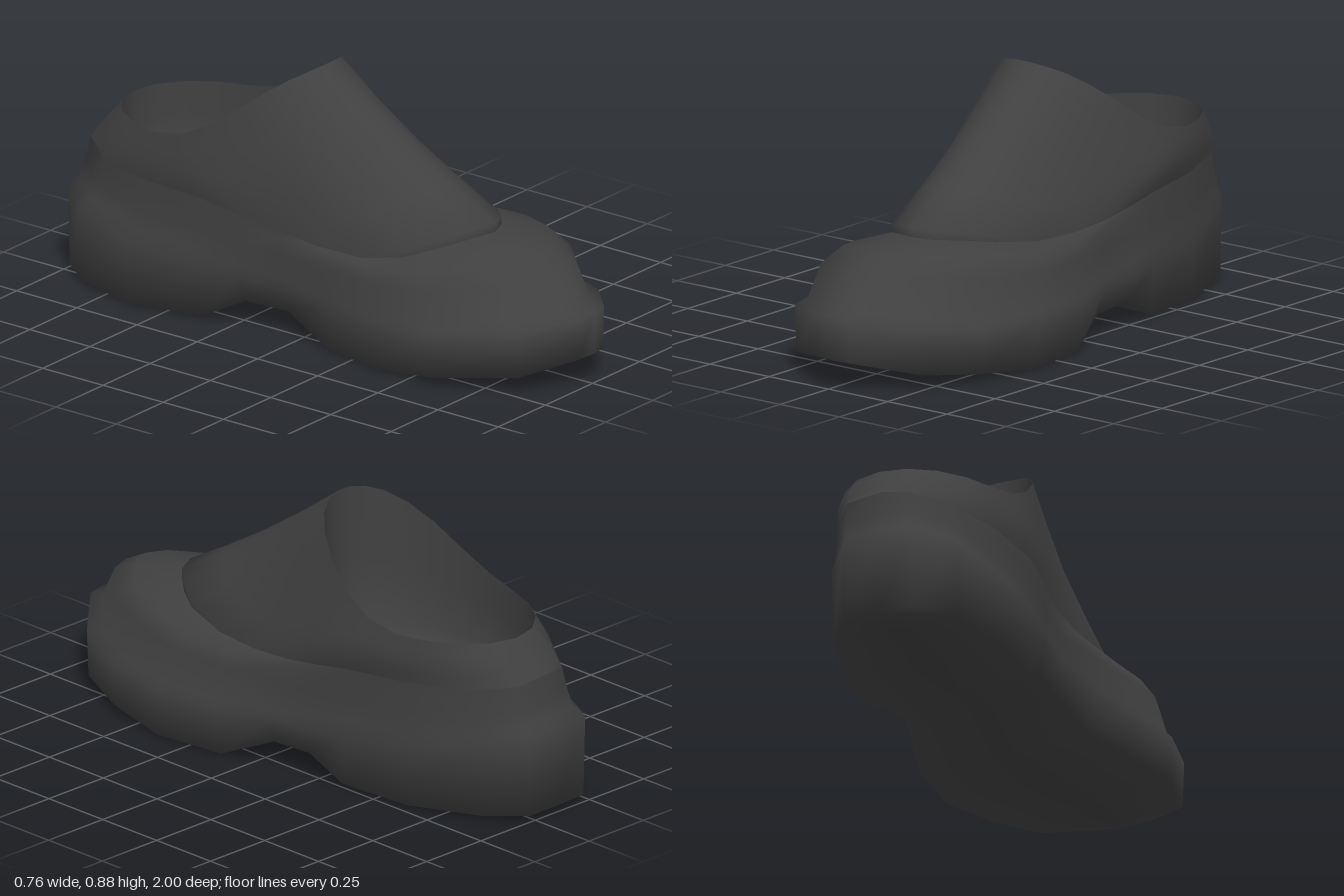
import * as THREE from 'three';
import { toCreasedNormals } from 'three/addons/utils/BufferGeometryUtils.js';

// Columns run from the toe, round the model's left side, the heel and back.
// Each: outline x, z, then the seam x, z, y where the instep meets the body.
const COLUMNS = [
  [0.01, 1.0, 0.01, 0.59, 0.437], [0.08, 0.985, 0.085, 0.555, 0.432],
  [0.26, 0.82, 0.15, 0.48, 0.425], [0.34, 0.62, 0.205, 0.39, 0.41],
  [0.378, 0.38, 0.245, 0.22, 0.385], [0.355, 0.12, 0.258, 0.05, 0.38],
  [0.30, -0.06, 0.263, -0.1, 0.39], [0.295, -0.22, 0.262, -0.24, 0.41],
  [0.27, -0.36, 0.25, -0.38, 0.43], [0.22, -0.62, 0.215, -0.6, 0.44],
  [0.125, -0.88, 0.13, -0.83, 0.45], [0.02, -1.0, 0.03, -0.95, 0.47],
  [-0.11, -1.0, -0.1, -0.955, 0.48], [-0.24, -0.99, -0.19, -0.935, 0.47],
  [-0.33, -0.87, -0.29, -0.8, 0.45], [-0.38, -0.64, -0.335, -0.6, 0.44],
  [-0.35, -0.36, -0.335, -0.36, 0.43], [-0.315, -0.22, -0.315, -0.22, 0.40],
  [-0.29, -0.06, -0.288, -0.08, 0.37], [-0.31, 0.13, -0.278, 0.08, 0.35],
  [-0.34, 0.35, -0.262, 0.25, 0.345], [-0.345, 0.6, -0.225, 0.39, 0.37],
  [-0.24, 0.88, -0.15, 0.49, 0.405], [-0.06, 0.99, -0.07, 0.56, 0.43],
];
const N = COLUMNS.length;
const HALF = N / 2;

// Heights along z for the sole, the top of the side wall and the collar rim
const SOLE = [[-1, 0.025], [-0.65, 0.008], [-0.36, 0.02], [-0.22, 0.09], [-0.06, 0.085],
  [0.07, 0.01], [0.33, 0.003], [0.55, 0.025], [0.86, 0.06], [1, 0.105]];
const WALL = [[-1, 0.3], [-0.6, 0.21], [0, 0.17], [0.6, 0.18], [0.85, 0.22], [1, 0.25]];
const RIM = [[-0.87, 0.6], [-0.55, 0.605], [-0.4, 0.645], [-0.22, 0.78], [-0.13, 0.85], [-0.06, 0.89]];
// Width of the sole against the outline, tucked in at the arch
const TUCK = [[-0.5, 0.98], [-0.22, 0.9], [-0.06, 0.9], [0.25, 0.98]];

function heightAt(table, z) {
  if (z <= table[0][0]) return table[0][1];
  for (let i = 1; i < table.length; i++) {
    const [z0, y0] = table[i - 1], [z1, y1] = table[i];
    if (z <= z1) return y0 + (y1 - y0) * (z - z0) / (z1 - z0);
  }
  return table[table.length - 1][1];
}

const { lerp, smoothstep } = THREE.MathUtils;
const ring = (f) => COLUMNS.map((c, i) => f(c, i));
const midline = (r, y) => r.map((p, i) => {
  const q = r[(N - i) % N];
  const z = (p[2] + q[2]) / 2;
  return [(p[0] + q[0]) / 2, y(z), z];
});

// Smooth skin between successive closed rings
function loft(rings) {
  const index = [];
  for (let r = 0; r < rings.length - 1; r++) {
    for (let i = 0; i < N; i++) {
      const a = r * N + i, b = r * N + (i + 1) % N;
      index.push(a, b, b + N, a, b + N, a + N);
    }
  }
  const g = new THREE.BufferGeometry();
  g.setAttribute('position', new THREE.Float32BufferAttribute(rings.flat(2), 3));
  g.setIndex(index);
  return toCreasedNormals(g, 1.8);
}

export function createModel() {
  const group = new THREE.Group();
  const charcoal = new THREE.MeshStandardMaterial({ color: 0x404040 });
  charcoal.name = 'charcoal';
  const add = (name, rings) => {
    const mesh = new THREE.Mesh(loft(rings), charcoal);
    mesh.name = name;
    group.add(mesh);
  };

  // Arched sole and side wall, with a stepped toe cap easing into an upright heel
  const edge = ring(([x, z]) => [x * heightAt(TUCK, z), heightAt(SOLE, z), z * 0.997]);
  const wall = ring(([x, z]) => [x, heightAt(WALL, z), z]);
  const shoulder = (toeInset, toeRise, heelInset, heelRise) => ring(([x, z, sx, sz, sy]) => {
    const t = smoothstep(z, -0.4, 0.15);
    const inset = lerp(heelInset, toeInset, t);
    return [
      lerp(x, sx, inset),
      lerp(heightAt(WALL, z), sy, lerp(heelRise, toeRise, t)),
      lerp(z, sz, inset),
    ];
  });
  const seam = shoulder(1, 1, 1, 1);
  add('soleAndToeCap', [midline(edge, (z) => heightAt(SOLE, z)), edge, wall,
    shoulder(0.14, 0.1, 0.52, 0.22), shoulder(0.27, 0.68, 0.74, 0.5),
    shoulder(0.5, 0.94, 0.9, 0.78), seam]);

  // Sloping rim of the collar
  const angle = (i) => {
    const k = i <= HALF ? i : N - i;
    return (i <= HALF ? 1 : -1) * Math.PI * (k / HALF) ** 1.3;
  };
  const rim = ring((c, i) => {
    const z = -0.465 + 0.405 * Math.cos(angle(i));
    return [-0.045 + 0.278 * Math.sin(angle(i)), heightAt(RIM, z), z];
  });

  // Instep rising from a small lip at the front of the seam
  const lip = seam.map(([x, y, z]) => [x, y + 0.03 * smoothstep(z, 0.2, 0.55), z]);
  const instep = (t) => lip.map((p, i) => {
    const swell = 0.02 * Math.sin(Math.PI * t);
    const front = Math.max(0, Math.cos(angle(i)));
    const [x, y, z] = p.map((v, k) => lerp(v, rim[i][k], t));
    return [x + swell * Math.sin(angle(i)) * (1 - 1.8 * front), y - swell * front, z];
  });
  add('instepAndCollar', [seam, lip, instep(0.25), instep(0.5), instep(0.75), rim]);

  // Lining and insole
  const inset = (s, y) => rim.map((p) => [
    lerp(-0.045, p[0], s), y(p[1]), lerp(-0.465, p[2], s)]);
  const floor = inset(0.88, () => 0.33);
  add('lining', [rim, inset(0.99, (y) => lerp(0.38, y, 0.5)),
    inset(0.97, () => 0.38), floor, midline(floor, () => 0.3)]);

  return group;
}
